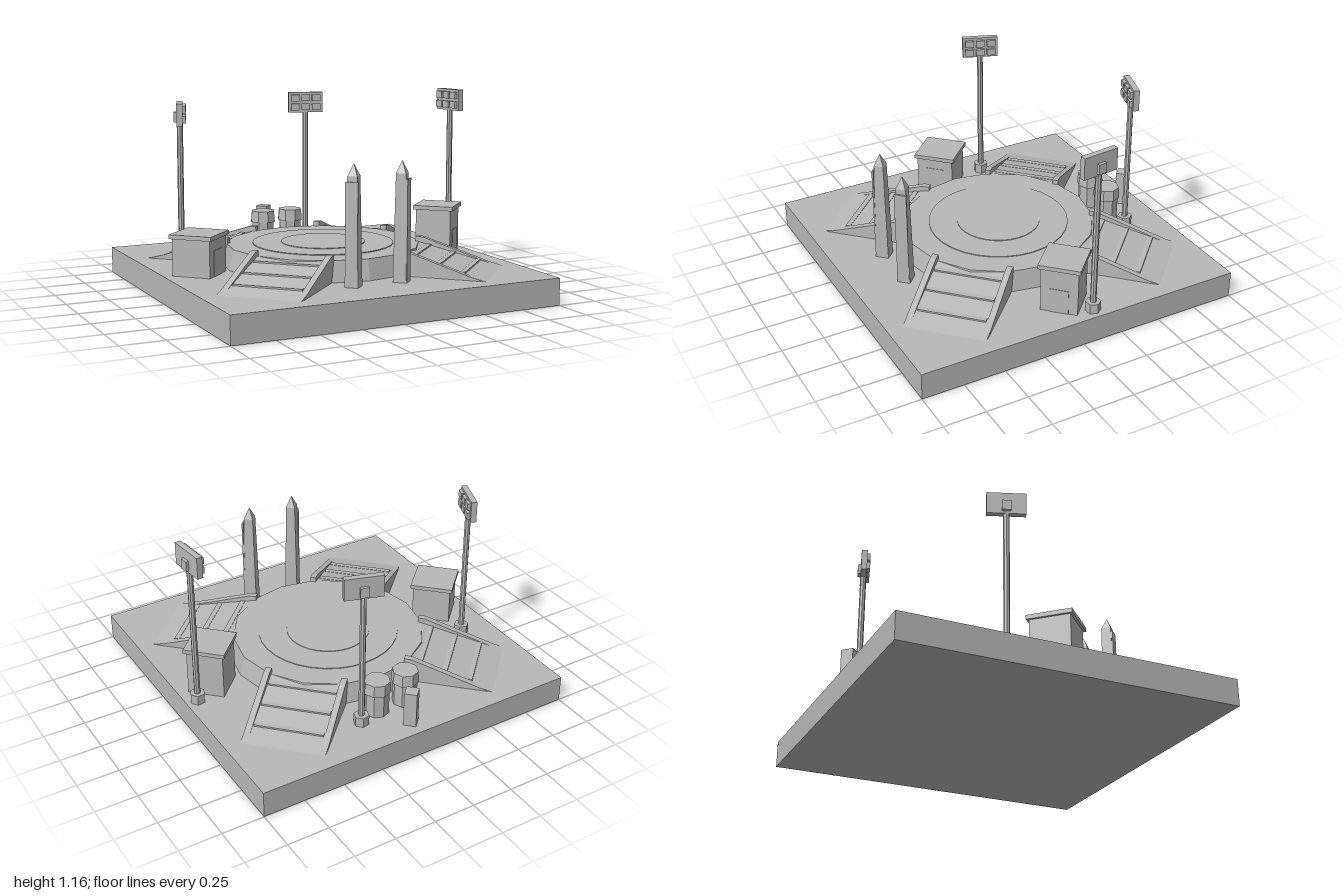
import * as THREE from 'three';

const grey = new THREE.MeshStandardMaterial({ color: 0xb8b8b8, flatShading: true });
const GROUND = 0.16;

function add(parent, name, geometry, x = 0, y = 0, z = 0, ry = 0) {
  const mesh = new THREE.Mesh(geometry, grey);
  mesh.name = name;
  mesh.position.set(x, y, z);
  mesh.rotation.y = ry;
  parent.add(mesh);
  return mesh;
}

function group(parent, name, x = 0, z = 0, ry = 0) {
  const g = new THREE.Group();
  g.name = name;
  g.position.set(x, GROUND, z);
  g.rotation.y = ry;
  parent.add(g);
  return g;
}

const box = (w, h, d) => new THREE.BoxGeometry(w, h, d);
const cyl = (top, bottom, h, sides) => new THREE.CylinderGeometry(top, bottom, h, sides);

// Side profile in (distance, height), extruded across the given width
function slab(points, width) {
  const shape = new THREE.Shape(points.map(p => new THREE.Vector2(...p)));
  return new THREE.ExtrudeGeometry(shape, { depth: width, bevelEnabled: false }).translate(0, 0, -width / 2);
}

// Sloped ramp with cross slats and tapering side rails
function ramp(parent, angle) {
  const g = group(parent, 'ramp', 0, 0, angle);
  add(g, 'rampSlope', slab([[0.5, 0], [1.04, 0], [0.53, 0.12], [0.5, 0.12]], 0.48));
  for (const d of [0.6, 0.75, 0.9]) {
    const y = 0.12 * (1.04 - d) / 0.51;
    add(g, 'rampSlat', box(0.03, 0.012, 0.4), d, y, 0);
  }
  for (const s of [-1, 1]) {
    add(g, 'rampRail', slab([[0.515, 0], [1.02, 0], [0.56, 0.148], [0.515, 0.15]], 0.036), 0, 0, s * 0.224);
  }
}

// Tapered square pillar with a pointed cap and a thin outer panel
function obelisk(parent, s) {
  const g = group(parent, 'obelisk', s * 0.15, 0.69);
  add(g, 'obeliskShaft', cyl(0.04, 0.055, 0.61, 4), 0, 0.305);
  add(g, 'obeliskTip', new THREE.ConeGeometry(0.04, 0.07, 4), 0, 0.645);
  add(g, 'obeliskPanel', box(0.072, 0.58, 0.009), s * 0.026, 0.29, 0.026, s * Math.PI / 4);
}

// Square hut turned corner-on, with flat roof and door
function hut(parent, x, z, height, half) {
  const g = group(parent, 'hut', x, z, Math.PI / 4);
  const side = (half - 0.02) * Math.SQRT2;
  add(g, 'hutWalls', box(side, height - 0.025, side), 0, (height - 0.025) / 2);
  add(g, 'hutRoof', box(half * Math.SQRT2, 0.025, half * Math.SQRT2), 0, height - 0.0125);
  add(g, 'hutDoor', box(0.11, 0.15, 0.006), 0, 0.075, side / 2);
}

// Floodlight mast facing the platform, two rows of three lamps
function floodlight(parent, x, z, top) {
  const g = group(parent, 'floodlight', x, z, Math.atan2(-x, -z));
  const headY = top - GROUND - 0.065;
  add(g, 'mastFoot', cyl(0.045, 0.045, 0.06, 6), 0, 0.03);
  add(g, 'mastPole', cyl(0.018, 0.018, headY, 8), 0, headY / 2);
  add(g, 'lampHead', box(0.22, 0.13, 0.035), 0, headY, 0);
  add(g, 'lampBracket', box(0.05, 0.06, 0.02), 0, headY - 0.02, -0.025);
  for (const col of [-1, 0, 1]) {
    for (const row of [-1, 1]) {
      add(g, 'lamp', box(0.054, 0.042, 0.02), col * 0.068, headY + row * 0.029, 0.026);
    }
  }
}

// Eight-sided tank with a wider lid
function tank(parent, x, z) {
  const g = group(parent, 'tank', x, z);
  add(g, 'tankBody', cyl(0.072, 0.072, 0.15, 8), 0, 0.075);
  add(g, 'tankLid', cyl(0.076, 0.082, 0.07, 8), 0, 0.18);
}

export function createModel() {
  const model = new THREE.Group();
  model.name = 'arena';
  add(model, 'base', box(2, GROUND, 2), 0, GROUND / 2);

  // Central platform with shallow raised rings
  const platform = group(model, 'platform');
  add(platform, 'platformBody', cyl(0.575, 0.602, 0.12, 16), 0, 0.06);
  add(platform, 'outerRing', cyl(0.42, 0.42, 0.005, 32), 0, 0.1225);
  add(platform, 'innerRing', cyl(0.25, 0.25, 0.005, 32), 0, 0.1265);

  for (let k = 0; k < 4; k++) ramp(model, Math.PI / 4 + k * Math.PI / 2);
  for (const s of [-1, 1]) obelisk(model, s);

  hut(model, 0.785, 0.01, 0.3, 0.173);
  hut(model, -0.785, 0, 0.24, 0.183);

  floodlight(model, -0.785, -0.295, 1.12);
  floodlight(model, 0.24, -0.757, 1.12);
  floodlight(model, 0.93, -0.095, 1.16);

  // Tanks and a square post at the back
  tank(model, -0.085, -0.705);
  tank(model, 0.105, -0.705);
  add(model, 'backPost', box(0.073, 0.215, 0.073), 0, GROUND + 0.1075, -0.895, Math.PI / 4);
  return model;
}
